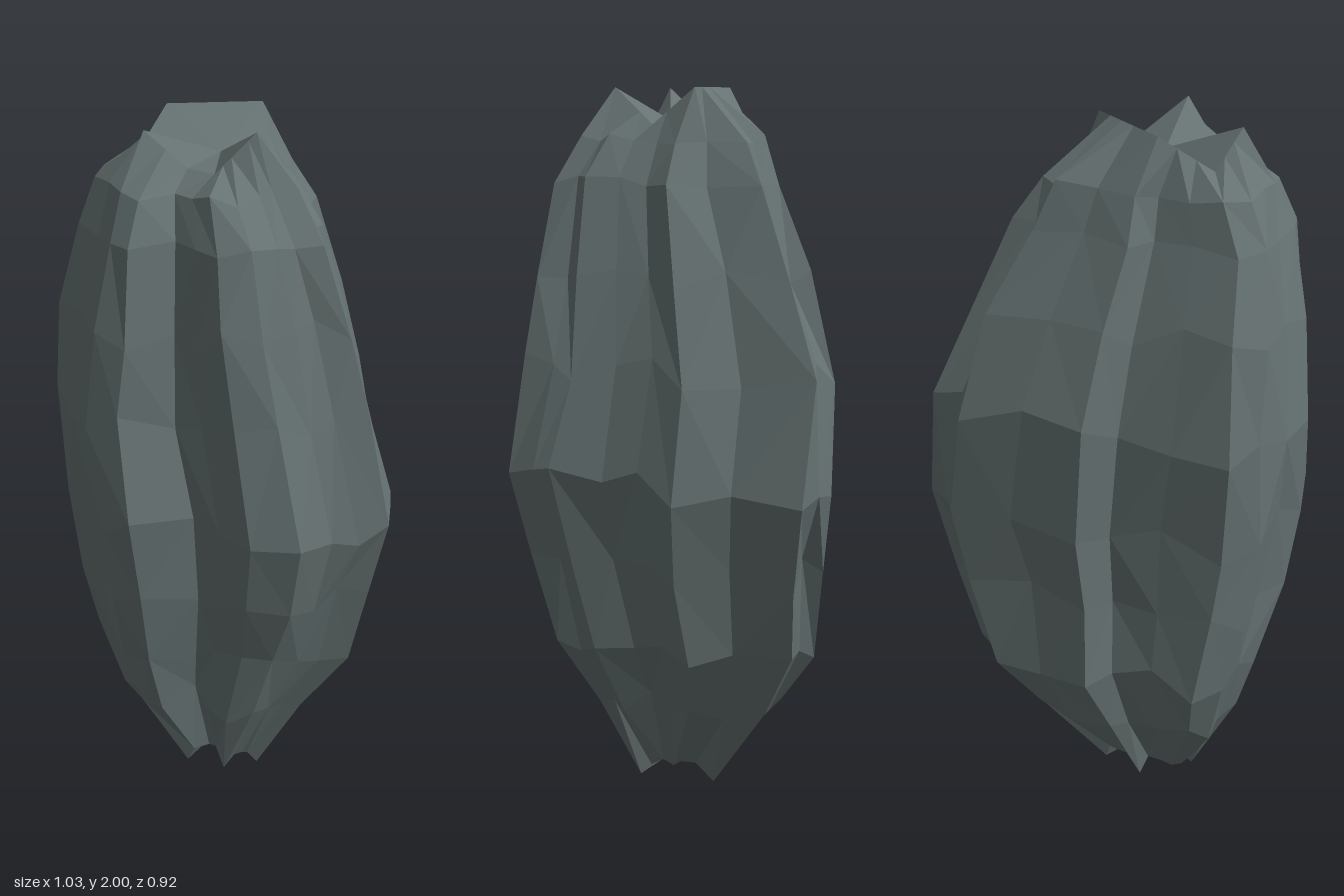
import * as THREE from 'three';

// Widest outline of the rock, clockwise from above: x, z, depth factor of the rib or groove
const outline = [
  [-0.32, -0.46, 1], [-0.17, -0.42, 0.97], [-0.02, -0.385, 0.93], [0.07, -0.435, 0.98],
  [0.25, -0.36, 0.97], [0.44, -0.31, 0.98], [0.445, -0.25, 0.98], [0.515, -0.185, 1],
  [0.4, -0.03, 0.94], [0.34, 0.13, 0.99], [0.24, 0.18, 0.96], [0.15, 0.26, 0.97],
  [0.07, 0.37, 0.98], [0.02, 0.4, 0.97], [-0.045, 0.455, 1], [-0.12, 0.395, 0.97],
  [-0.19, 0.365, 0.97], [-0.3, 0.34, 0.98], [-0.375, 0.235, 0.98], [-0.37, 0.12, 0.96],
  [-0.38, 0.02, 0.93], [-0.515, -0.055, 1], [-0.515, -0.165, 1], [-0.48, -0.28, 0.96],
  [-0.43, -0.41, 0.97],
];
const n = outline.length;

// Height, then x and z extents of each cross-section
const levels = [
  [0.05, -0.23, 0.03, -0.2, 0.05],
  [0.28, -0.36, 0.26, -0.35, 0.19],
  [0.48, -0.41, 0.38, -0.42, 0.33],
  [0.71, -0.48, 0.45, -0.435, 0.40],
  [0.95, -0.52, 0.515, -0.44, 0.46],
  [1.26, -0.52, 0.48, -0.46, 0.40],
  [1.52, -0.50, 0.37, -0.41, 0.355],
  [1.75, -0.46, 0.26, -0.34, 0.29],
  [1.86, -0.41, 0.18, -0.30, 0.21],
];
const bottomTips = [3, 7, 14, 18, 22];

// Rim of the top, with three peaks: outline index, x, y, z
const rim = [
  [0, -0.26, 1.91, -0.21], [3, -0.12, 2, -0.23], [8, 0.05, 2, -0.05], [11, -0.03, 1.9, 0.04],
  [14, -0.16, 2, 0.1], [19, -0.24, 1.9, 0.03], [20, -0.25, 1.9, -0.05], [22, -0.32, 2, -0.13],
  [25, -0.26, 1.91, -0.21],
];

function seeded(seed) {
  return () => {
    seed = (seed * 16807) % 2147483647;
    return seed / 2147483647;
  };
}

// Rescale one coordinate of a ring to run from lo to hi
function fit(ring, k, lo, hi) {
  const values = ring.map((p) => p[k]);
  const min = Math.min(...values), max = Math.max(...values);
  ring.forEach((p) => { p[k] = lo + (hi - lo) * (p[k] - min) / (max - min); });
}

// Point of the top rim above one outline point
function rimPoint(i) {
  const s = rim.findIndex((r) => r[0] > i);
  const a = rim[s - 1], b = rim[s];
  const t = (i - a[0]) / (b[0] - a[0]);
  return [1, 2, 3].map((k) => a[k] + (b[k] - a[k]) * t);
}

function rockGeometry() {
  const rand = seeded(4127);
  const rings = levels.map(([y, x0, x1, z0, z1], j) => {
    const ring = outline.map(([x, z, depth], i) => {
      const r = depth + (rand() - 0.5) * 0.05;
      const turn = (rand() - 0.5) * 0.04;
      const c = Math.cos(turn), s = Math.sin(turn);
      let h = y + (rand() - 0.5) * (j === 0 || j > 6 ? 0.03 : 0.09);
      if (j === 0 && bottomTips.includes(i)) h = 0;
      return [(x * c - z * s) * r, h, (x * s + z * c) * r];
    });
    fit(ring, 0, x0, x1);
    fit(ring, 2, z0, z1);
    return ring;
  });
  rings.push(outline.map((_, i) => rimPoint(i)));

  const pos = [];
  const tri = (a, b, c) => pos.push(...a, ...b, ...c);
  const last = rings.length - 1;
  // Side facets, with the diagonal varied
  for (let j = 0; j < last; j++) {
    for (let i = 0; i < n; i++) {
      const k = (i + 1) % n;
      const a = rings[j][i], b = rings[j][k], c = rings[j + 1][i], d = rings[j + 1][k];
      if (rand() < 0.5) { tri(b, a, c); tri(b, c, d); } else { tri(b, a, d); tri(a, c, d); }
    }
  }
  // Hollowed top and bottom
  const top = [-0.12, 1.91, -0.05], bottom = [-0.1, 0.07, -0.08];
  for (let i = 0; i < n; i++) {
    const k = (i + 1) % n;
    tri(top, rings[last][k], rings[last][i]);
    tri(bottom, rings[0][i], rings[0][k]);
  }

  const geometry = new THREE.BufferGeometry();
  geometry.setAttribute('position', new THREE.Float32BufferAttribute(pos, 3));
  geometry.computeVertexNormals();
  return geometry;
}

export function createModel() {
  const stone = new THREE.MeshStandardMaterial({ color: 0x667272, flatShading: true });
  stone.name = 'slateGrey';
  const rock = new THREE.Mesh(rockGeometry(), stone);
  rock.name = 'rock';
  const group = new THREE.Group();
  group.name = 'standingRock';
  group.add(rock);
  return group;
}
